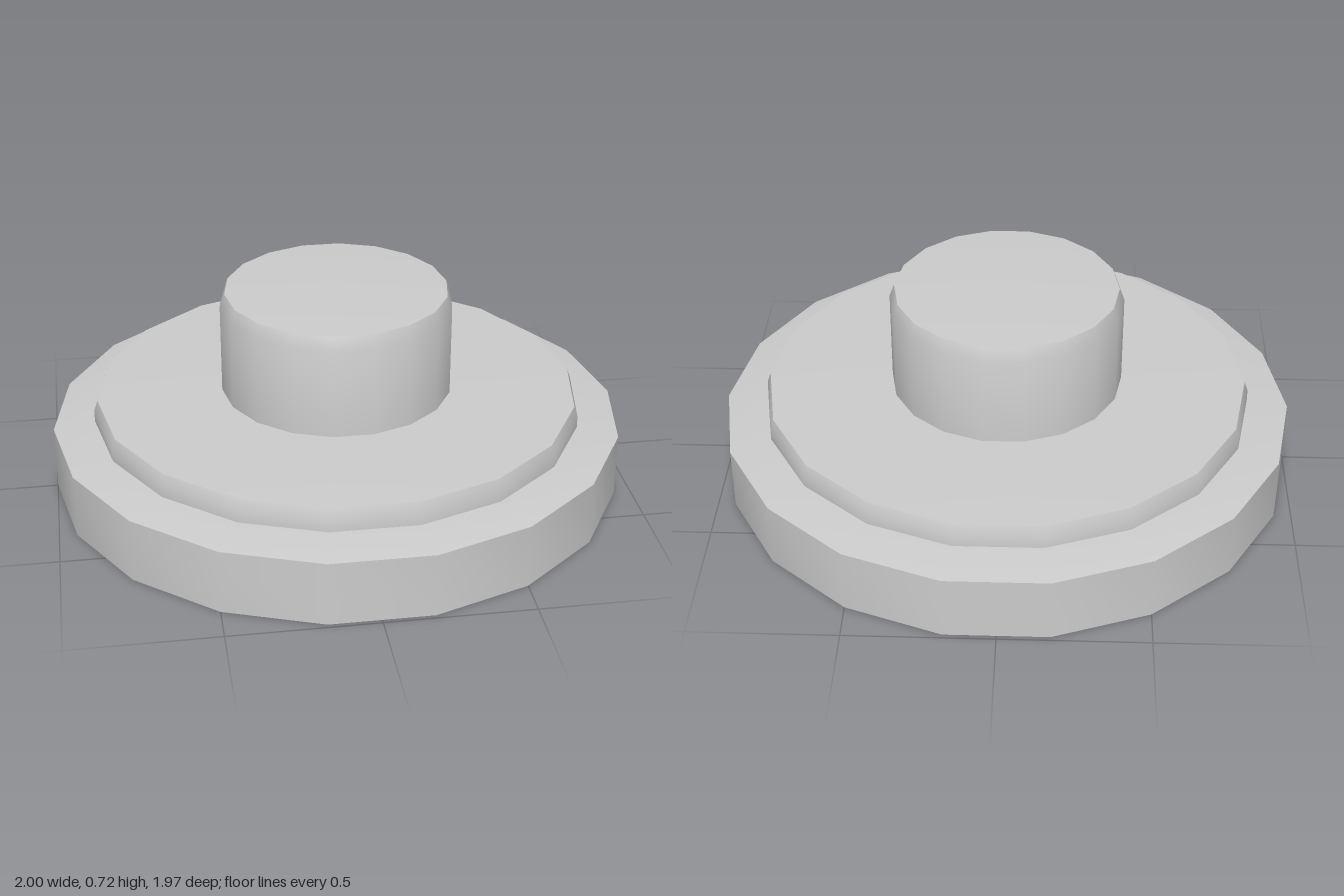
import * as THREE from 'three';
import { toCreasedNormals } from 'three/addons/utils/BufferGeometryUtils.js';

const SIDES = 18;

export function createModel() {
  const group = new THREE.Group();
  const material = new THREE.MeshStandardMaterial({ color: 0xcccccc });

  // Turned part from [radius, height] pairs, bottom to top, with a corner on the x axis
  function turned(name, profile) {
    const points = profile.map(([r, y]) => new THREE.Vector2(r, y));
    const lathe = new THREE.LatheGeometry(points, SIDES, Math.PI / 2);
    const mesh = new THREE.Mesh(toCreasedNormals(lathe, 0.5), material);
    mesh.name = name;
    group.add(mesh);
  }

  // Wide base with a gently sloping rim
  turned('base', [[0, 0], [1, 0], [1, 0.225], [0.85, 0.25], [0, 0.25]]);

  // Raised plate with a slightly domed top
  turned('plate', [[0.855, 0.245], [0.855, 0.29], [0.842, 0.328], [0.4, 0.34], [0, 0.34]]);

  // Central push button with a bevelled edge and slightly domed cap
  turned('button', [[0.405, 0.33], [0.405, 0.66], [0.388, 0.705], [0, 0.72]]);

  return group;
}
